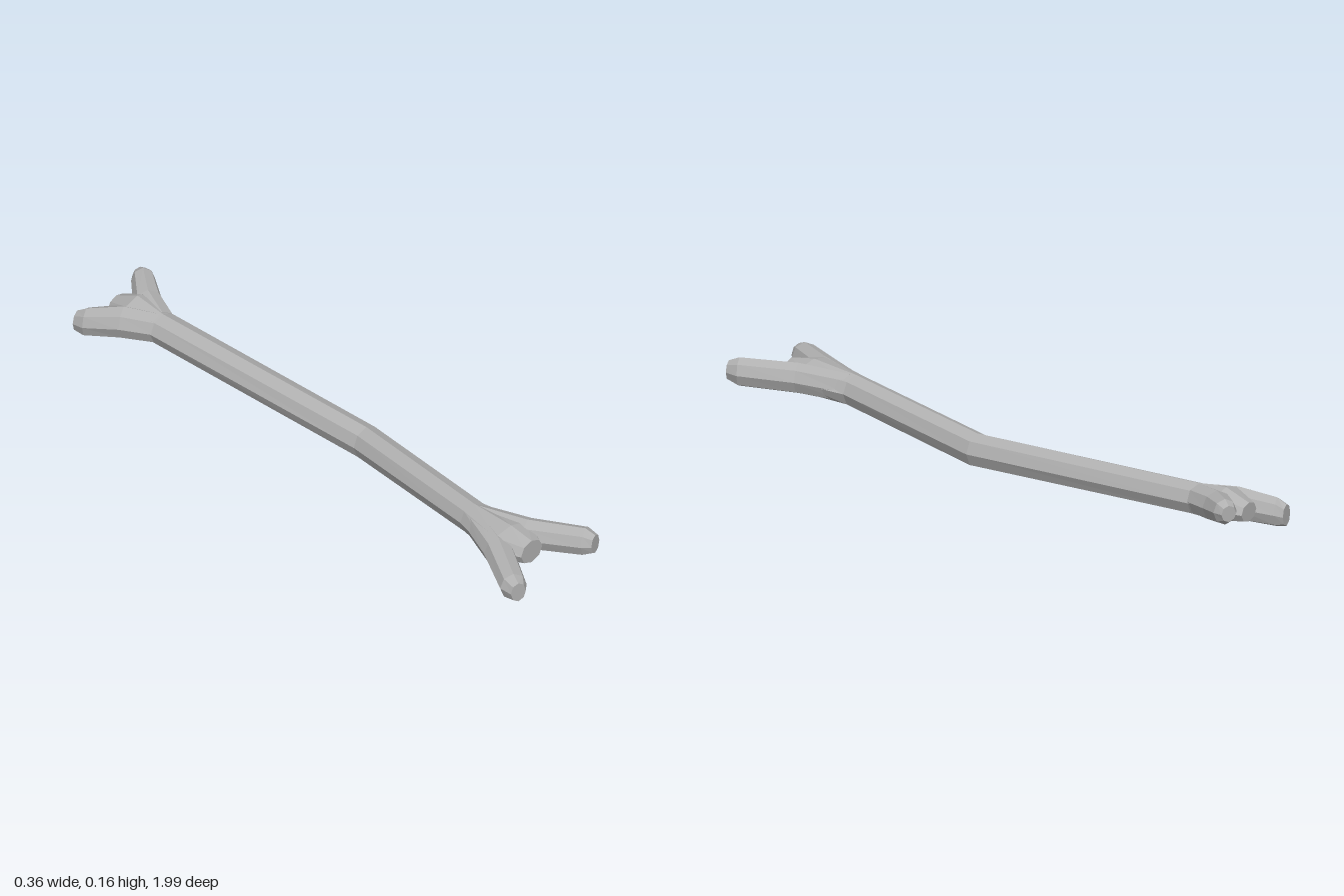
import * as THREE from 'three';

const SIDES = 8;

// Lofts eight-sided rings along a path; each station is [x, y, z, halfWidth, halfHeight].
function loft(stations) {
  const pos = [], idx = [], n = stations.length;
  stations.forEach(([x, y, z, hw, hh], i) => {
    const a = stations[Math.max(i - 1, 0)], b = stations[Math.min(i + 1, n - 1)];
    const len = Math.hypot(b[0] - a[0], b[2] - a[2]);
    const ux = (b[2] - a[2]) / len, uz = -(b[0] - a[0]) / len;
    for (let j = 0; j < SIDES; j++) {
      const t = (j / SIDES) * Math.PI * 2, c = Math.cos(t) * hw;
      pos.push(x + ux * c, y + Math.sin(t) * hh, z + uz * c);
    }
  });
  for (let i = 0; i < n - 1; i++) {
    for (let j = 0; j < SIDES; j++) {
      const k = (j + 1) % SIDES, a = i * SIDES, b = a + SIDES;
      idx.push(a + j, a + k, b + k, a + j, b + k, b + j);
    }
  }
  // flat end caps
  const e = (n - 1) * SIDES;
  for (let j = 1; j < SIDES - 1; j++) {
    idx.push(0, j + 1, j, e, e + j, e + j + 1);
  }
  const g = new THREE.BufferGeometry();
  g.setAttribute('position', new THREE.Float32BufferAttribute(pos, 3));
  g.setIndex(idx);
  const flat = g.toNonIndexed();
  flat.computeVertexNormals();
  return flat;
}

export function createModel() {
  const group = new THREE.Group();
  group.name = 'bone';
  const boneGrey = new THREE.MeshStandardMaterial({ color: 0xb0b0b0, flatShading: true });
  boneGrey.name = 'boneGrey';

  const parts = {
    // bent shaft widening into a hub at both ends
    shaft: [
      [-0.012, 0.088, -0.94, 0.04, 0.03],
      [0, 0.098, -0.86, 0.072, 0.053],
      [0.002, 0.087, -0.75, 0.052, 0.05],
      [0.07, 0.053, 0.07, 0.05, 0.053],
      [0, 0.084, 0.62, 0.05, 0.05],
      [-0.005, 0.09, 0.79, 0.09, 0.051],
      [0, 0.087, 0.875, 0.045, 0.038],
    ],
    // each prong runs from inside its hub to a bevelled tip
    frontLeftProng: [
      [0.005, 0.087, 0.64, 0.04, 0.046],
      [0.052, 0.093, 0.8, 0.046, 0.048],
      [0.143, 0.1, 0.955, 0.041, 0.045],
      [0.154, 0.1, 0.987, 0.025, 0.031],
    ],
    frontRightProng: [
      [-0.01, 0.085, 0.64, 0.04, 0.046],
      [-0.065, 0.082, 0.8, 0.046, 0.047],
      [-0.147, 0.068, 0.955, 0.041, 0.044],
      [-0.156, 0.066, 0.987, 0.025, 0.032],
    ],
    backLeftProng: [
      [0.008, 0.09, -0.76, 0.045, 0.048],
      [0.042, 0.102, -0.86, 0.046, 0.05],
      [0.1, 0.122, -0.945, 0.036, 0.041],
      [0.111, 0.124, -0.97, 0.024, 0.026],
    ],
    backRightProng: [
      [-0.005, 0.088, -0.76, 0.045, 0.048],
      [-0.056, 0.085, -0.86, 0.05, 0.052],
      [-0.118, 0.064, -0.957, 0.038, 0.046],
      [-0.127, 0.058, -0.987, 0.026, 0.034],
    ],
  };
  for (const [name, stations] of Object.entries(parts)) {
    const mesh = new THREE.Mesh(loft(stations), boneGrey);
    mesh.name = name;
    group.add(mesh);
  }
  return group;
}
